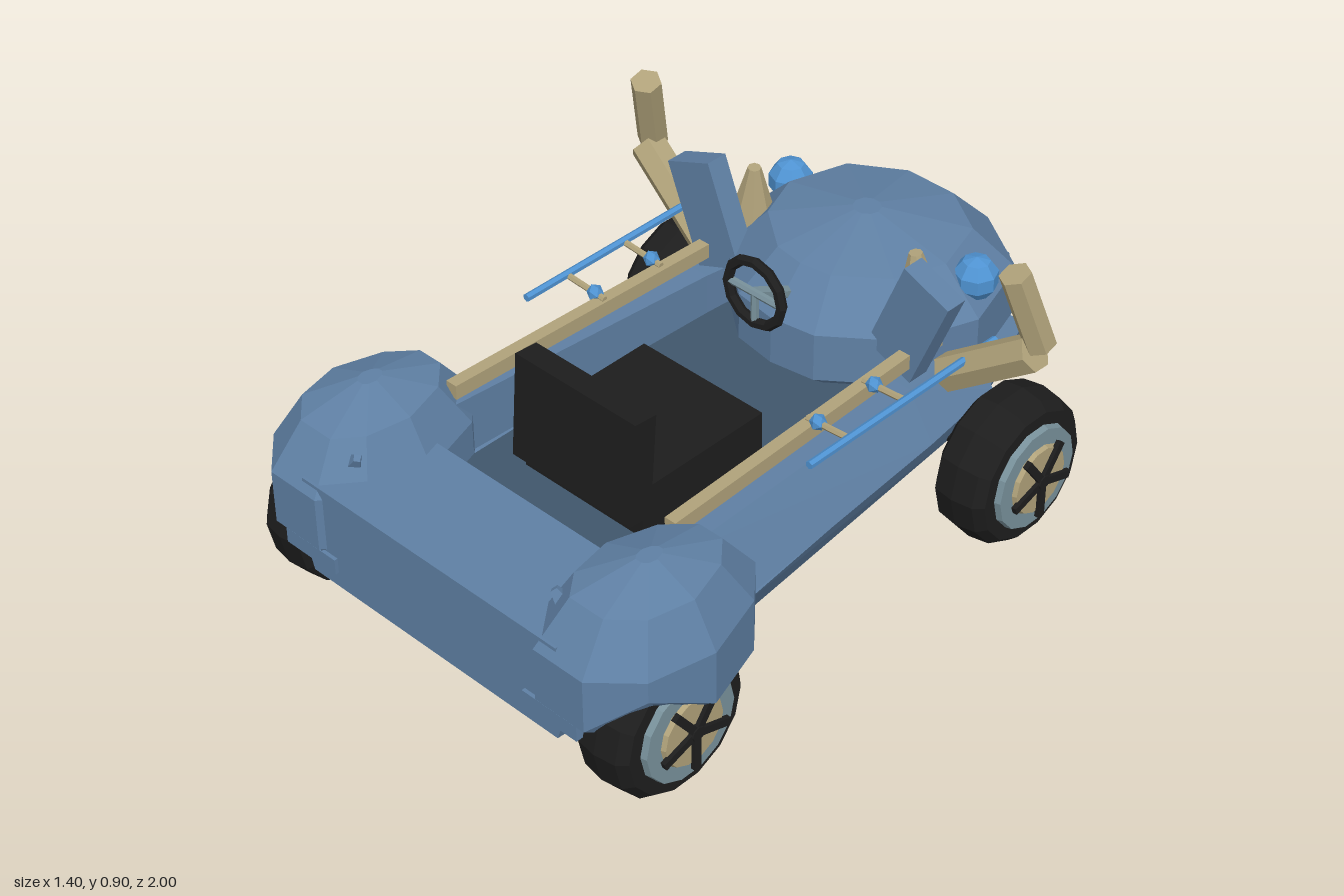
import * as THREE from 'three';

const mat = (name, color) => Object.assign(
  new THREE.MeshStandardMaterial({ color, flatShading: true }), { name });
const M = {
  body: mat('body blue', 0x5f80a4),
  floor: mat('floor blue', 0x40566c),
  tan: mat('tan', 0xb0a27a),
  black: mat('black', 0x1d1d1d),
  bright: mat('bright blue', 0x4f93d2),
  rim: mat('rim grey', 0x78919b),
};

const V = (p) => new THREE.Vector3(...p);

function mesh(name, geo, m, pos = [0, 0, 0], rot = [0, 0, 0]) {
  const o = new THREE.Mesh(geo, m);
  o.name = name;
  o.position.set(...pos);
  o.rotation.set(...rot);
  return o;
}
const box = (name, size, pos, m, rot) => mesh(name, new THREE.BoxGeometry(...size), m, pos, rot);

// Closed solid through a list of rings with equal point counts
function loft(name, rings, m) {
  const n = rings[0].length, tris = [];
  for (let i = 0; i + 1 < rings.length; i++)
    for (let j = 0; j < n; j++) {
      const k = (j + 1) % n, a = rings[i], b = rings[i + 1];
      tris.push([a[j], a[k], b[k]], [a[j], b[k], b[j]]);
    }
  const a = rings[0], b = rings[rings.length - 1];
  for (let j = 1; j + 1 < n; j++) tris.push([a[0], a[j + 1], a[j]], [b[0], b[j], b[j + 1]]);
  let volume = 0;
  for (const t of tris) volume += V(t[0]).dot(V(t[1]).cross(V(t[2])));
  if (volume < 0) tris.forEach((t) => t.reverse());
  const g = new THREE.BufferGeometry();
  g.setAttribute('position', new THREE.Float32BufferAttribute(tris.flat(2), 3));
  g.computeVertexNormals();
  return mesh(name, g, m);
}

// Round or square bar between two points
function bar(name, a, b, r, m, sides = 8, r2 = r) {
  const p = V(a), q = V(b), d = q.clone().sub(p);
  const o = mesh(name, new THREE.CylinderGeometry(r2, r, d.length(), sides), m);
  o.position.copy(p).add(q).multiplyScalar(0.5);
  o.quaternion.setFromUnitVectors(new THREE.Vector3(0, 1, 0), d.normalize());
  return o;
}

// Plan outline scaled about a centre and laid at a height
const ring = (plan, y, s, cx, cz) =>
  plan.map(([x, z]) => [cx + (x - cx) * s, y, cz + (z - cz) * s]);

function makeWheel(z) {
  const g = new THREE.Group();
  g.name = 'wheel';
  const profile = [[0, -0.085], [0.17, -0.085], [0.207, -0.06], [0.216, 0], [0.207, 0.06], [0.185, 0.085], [0, 0.085]];
  const pts = profile.map(([r, y]) => new THREE.Vector2(r, y));
  g.add(mesh('tyre', new THREE.LatheGeometry(pts, 14), M.black));
  g.add(mesh('rim', new THREE.CylinderGeometry(0.145, 0.15, 0.02, 14), M.rim, [0, 0.092, 0]));
  g.add(mesh('hubDisc', new THREE.CylinderGeometry(0.095, 0.1, 0.012, 14), M.tan, [0, 0.108, 0]));
  for (let i = 0; i < 5; i++) {
    const a = (i / 5) * Math.PI * 2;
    g.add(box('spoke', [0.115, 0.014, 0.022],
      [Math.cos(a) * 0.055, 0.118, -Math.sin(a) * 0.055], M.black, [0, a, 0]));
  }
  g.add(mesh('hubCap', new THREE.CylinderGeometry(0.02, 0.025, 0.02, 8), M.black, [0, 0.118, 0]));
  // axle turned to +x, one spoke pointing up
  g.rotation.z = -Math.PI / 2;
  g.position.set(0.555, 0.215, z);
  return g;
}

function makeFender() {
  const plan = [[0.43, 0.43], [0.54, 0.43], [0.63, 0.53], [0.69, 0.72], [0.65, 0.9],
    [0.54, 1], [0.38, 1], [0.3, 0.9], [0.27, 0.72], [0.33, 0.53]];
  const skirt = ring(plan, 0.285, 1, 0.48, 0.72);
  skirt[4][1] = 0.38; // lifted corner clears the tyre
  return loft('fender', [
    ring(plan, 0.12, 0.12, 0.46, 0.72), ring(plan, 0.18, 0.6, 0.44, 0.71), skirt,
    ring(plan, 0.44, 1, 0.48, 0.72), ring(plan, 0.56, 0.68, 0.48, 0.72),
    ring(plan, 0.61, 0.12, 0.48, 0.72)], M.body);
}

// Everything on the +x side, mirrored for the other
function makeSide() {
  const g = new THREE.Group();
  g.name = 'side';
  g.add(makeWheel(-0.49), makeWheel(0.77), makeFender());
  g.add(bar('frontAxle', [0.2, 0.215, -0.49], [0.5, 0.215, -0.49], 0.03, M.black));
  // tub wall: z, inner x, outer top x, lower outer x, top height
  const wall = [[-0.58, 0.3, 0.34, 0.43, 0.44], [-0.3, 0.32, 0.385, 0.465, 0.46], [0.6, 0.355, 0.44, 0.54, 0.5]];
  g.add(loft('tubWall', wall.map(([z, xi, xt, xm, y]) =>
    [[xm, 0.33, z], [xt, y, z], [xi, y, z], [xi, 0.33, z]]), M.body));
  // side rail
  g.add(loft('sideRail', [[-0.45, 0.325], [0.55, 0.36]].map(([z, x]) =>
    [[x, 0.505, z], [x + 0.035, 0.505, z], [x + 0.035, 0.547, z], [x, 0.547, z]]), M.tan));
  // outer rod on two brackets
  g.add(bar('outerRod', [0.487, 0.562, -0.5], [0.487, 0.562, 0.19], 0.011, M.bright, 6));
  for (const z of [-0.16, 0.045]) {
    g.add(bar('rodBracket', [0.35, 0.55, z], [0.49, 0.56, z], 0.009, M.tan, 6));
    g.add(mesh('bracketKnob', new THREE.IcosahedronGeometry(0.023, 0), M.bright, [0.385, 0.555, z]));
  }
  // bent post
  g.add(bar('postArm', [0.42, 0.48, -0.4], [0.665, 0.655, -0.43], 0.052, M.tan, 6));
  g.add(bar('postTip', [0.665, 0.665, -0.45], [0.622, 0.89, -0.385], 0.042, M.tan, 6));
  // tilted screen panel, cone and lamp
  g.add(box('screenPanel', [0.155, 0.3, 0.065], [0.35, 0.63, -0.35], M.body, [0, 0, -0.38]));
  g.add(bar('cone', [0.29, 0.58, -0.44], [0.275, 0.76, -0.43], 0.068, M.tan, 8, 0.018));
  g.add(mesh('lamp', new THREE.SphereGeometry(0.062, 8, 5), M.bright, [0.32, 0.61, -0.62]));
  // rear details
  g.add(box('rearTab', [0.18, 0.045, 0.06], [0.42, 0.255, 0.965], M.body));
  g.add(bar('fenderNub', [0.37, 0.49, 0.88], [0.34, 0.53, 0.89], 0.03, M.body, 4, 0.012));
  return g;
}

function makeSteering() {
  const g = new THREE.Group();
  g.name = 'steering';
  const c = [0, 0.65, -0.14];
  g.add(mesh('steeringWheel', new THREE.TorusGeometry(0.092, 0.015, 6, 12), M.black, c));
  for (const a of [0, Math.PI, -Math.PI / 2])
    g.add(bar('wheelSpoke', c, [Math.cos(a) * 0.09, 0.65 + Math.sin(a) * 0.09, -0.14], 0.011, M.rim, 6));
  g.add(bar('column', c, [0, 0.56, -0.32], 0.018, M.rim, 6));
  return g;
}

export function createModel() {
  const car = new THREE.Group();
  car.name = 'openCar';

  // lower hull: z, bottom half width, upper half width, top height
  const hull = [[-0.89, 0.25, 0.28, 0.3], [-0.55, 0.36, 0.43, 0.33], [0.5, 0.46, 0.54, 0.33], [0.98, 0.43, 0.45, 0.24]];
  car.add(loft('lowerHull', hull.map(([z, a, b, y]) =>
    [[-a, 0.18, z], [a, 0.18, z], [b, y, z], [-b, y, z]]), M.body));
  car.add(box('floor', [0.66, 0.008, 1.1], [0, 0.336, 0.12], M.floor));
  car.add(loft('rearDeck', [[0.67, 0.44], [0.985, 0.44]].map(([z, x]) =>
    [[-x, 0.23, z], [x, 0.23, z], [x, 0.47, z], [-x, 0.47, z]]), M.body));

  // domed hood
  const half = [[0.11, -0.925], [0.31, -0.8], [0.385, -0.56], [0.31, -0.36], [0.13, -0.22]];
  const plan = [...half, [0, -0.2], ...half.map(([x, z]) => [-x, z]).reverse()];
  const skirt = ring(plan, 0.4, 1, 0, -0.56);
  car.add(loft('hood', [ring(plan, 0.34, 0.8, 0, -0.56), skirt, ring(plan, 0.54, 1, 0, -0.56),
    ring(plan, 0.655, 0.7, 0, -0.56), ring(plan, 0.705, 0.1, 0, -0.56)], M.body));

  // nose wedge
  const nose = [[-1, 0.145, 0.165, 0.31], [-0.975, 0.15, 0.165, 0.42], [-0.88, 0.17, 0.19, 0.43], [-0.55, 0.34, 0.4, 0.44]];
  car.add(loft('nose', nose.map(([z, t, b, y]) =>
    [[-b, 0.295, z], [b, 0.295, z], [t, y, z], [-t, y, z]]), M.body));

  // seat
  const seat = new THREE.Group();
  seat.name = 'seat';
  seat.add(box('cushion', [0.41, 0.15, 0.42], [0, 0.413, 0.26], M.black));
  seat.add(box('backrest', [0.41, 0.3, 0.07], [0, 0.545, 0.465], M.black, [-0.08, 0, 0]));
  seat.add(box('backPanel', [0.32, 0.15, 0.009], [0, 0.59, 0.424], M.body, [-0.08, 0, 0]));
  car.add(seat, makeSteering());

  const left = makeSide(), right = makeSide();
  left.name = 'leftSide';
  right.name = 'rightSide';
  right.scale.x = -1;
  car.add(left, right);
  return car;
}
